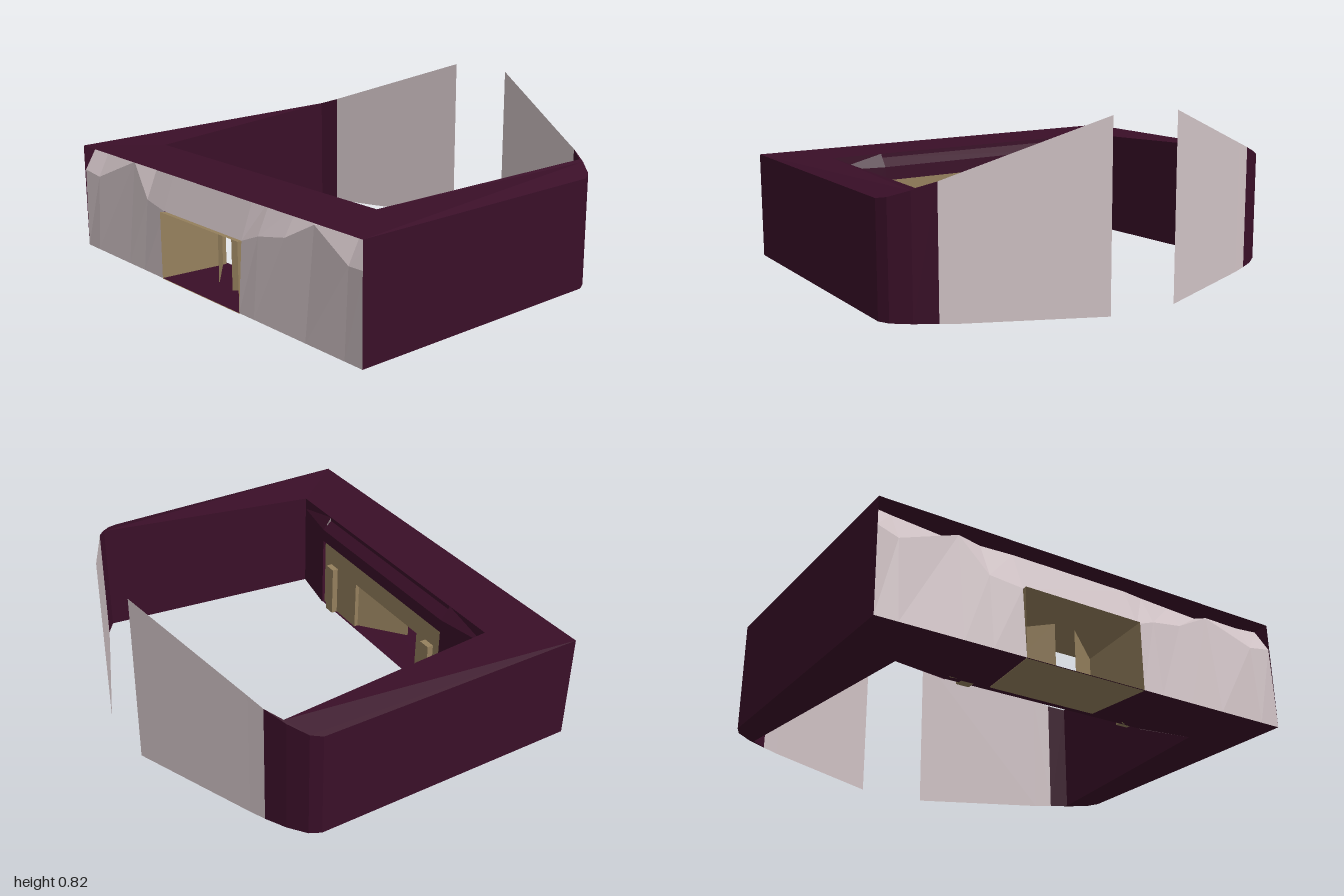
import * as THREE from 'three';

const mat = (color) => new THREE.MeshStandardMaterial({ color, flatShading: true, side: THREE.DoubleSide });
const BASE = 0.01, TOP = 0.51;

// Flat-shaded sheet running between rows of equal length; each row is a list of [x, y, z]
function loft(rows) {
  const pos = [];
  for (let r = 0; r < rows.length - 1; r++) {
    for (let i = 0; i < rows[r].length - 1; i++) {
      const a = rows[r][i], b = rows[r][i + 1], c = rows[r + 1][i + 1], d = rows[r + 1][i];
      pos.push(...a, ...b, ...c, ...a, ...c, ...d);
    }
  }
  return toGeometry(pos);
}

// Flat cap filling an [x, z] outline, with its height given by a rule
function cap(outline, height, up) {
  const pts = outline.map(([x, z]) => new THREE.Vector2(x, z));
  const pos = [];
  for (const tri of THREE.ShapeUtils.triangulateShape(pts, [])) {
    const [a, b, c] = tri.map((i) => pts[i]);
    const facesUp = (b.x - a.x) * (c.y - a.y) - (b.y - a.y) * (c.x - a.x) < 0;
    const order = facesUp === up ? [a, b, c] : [a, c, b];
    for (const p of order) pos.push(p.x, height(p.x, p.y), p.y);
  }
  return toGeometry(pos);
}

function toGeometry(pos) {
  const g = new THREE.BufferGeometry();
  g.setAttribute('position', new THREE.Float32BufferAttribute(pos, 3));
  g.computeVertexNormals();
  return g;
}

export function createModel() {
  const model = new THREE.Group();
  const dark = mat(0x3a0f28), stone = mat(0xd0c2c5), tan = mat(0x95805d);
  const add = (name, geometry, material, parent = model) => {
    const m = new THREE.Mesh(geometry, material);
    m.name = name;
    parent.add(m);
    return m;
  };

  // Top edge climbs toward the gate beyond the rounded corner
  const rise = (x, z) => (x > 0.42 ? TOP + 0.375 * (1 - Math.abs(z)) : TOP);
  const floor = () => BASE;

  // U-shaped plan: one half, then mirrored in z
  const outer = [[-0.86, 1], [0.43, 1], [0.48, 0.975], [0.54, 0.9], [0.59, 0.81]];
  const inner = [[0.59, 0.81], [0.54, 0.88], [-0.56, 0.75]];
  const half = [...outer, ...inner.slice(1)];
  const flip = (list) => list.map(([x, z]) => [x, -z]);
  const plan = [...half, ...flip(half).reverse()];
  add('roof', cap(plan, rise, true), dark);
  const basePlan = [...half, [-0.52, 0.5], ...flip([...half, [-0.52, 0.5]]).reverse()];
  add('underside', cap(basePlan, floor, false), dark);

  for (const s of [1, -1]) {
    const side = s > 0 ? 'left' : 'right';
    const wall = (pts) => loft([
      pts.map(([x, z]) => [x, BASE, z * s]),
      pts.map(([x, z]) => [x, rise(x, z), z * s]),
    ]);
    add(side + 'OuterWall', wall(outer), dark);
    add(side + 'InnerWall', wall(inner), dark);

    // Thin gate panel leaning out of the rounded corner
    const gate = [[0.59, 0.81], [0.62, 0.735], [0.855, 0.165]];
    add(side + 'GatePanel', loft([
      gate.map(([x, z], i) => [x, BASE - 0.005 * i, z * s]),
      gate.map(([x, z]) => [x, rise(x, z), z * s]),
    ]), stone);

    // Tapered dark wall beside the entrance frame
    add(side + 'EntranceFlank', loft([
      [[-0.56, BASE, 0.75 * s], [-0.515, BASE, 0.5 * s]],
      [[-0.56, 0.45, 0.75 * s], [-0.515, 0.45, 0.5 * s]],
      [[-0.56, TOP, 0.75 * s], [-0.56, TOP, 0.5 * s]],
    ]), dark);

    // Narrow post in front of the entrance frame
    add(side + 'Post', new THREE.BoxGeometry(0.04, 0.26, 0.06), tan).position.set(-0.52, 0.14, 0.41 * s);
  }

  // Ledge above the entrance
  const ledge = [[-0.56, TOP], [-0.56, 0.49], [-0.515, 0.45], [-0.515, 0.385], [-0.54, 0.385]];
  add('entranceLedge', loft(ledge.map(([x, y]) => [[x, y, 0.5], [x, y, -0.5]])), dark);

  // Entrance: frame with a doorway, tunnel and two half-open leaves
  const entrance = new THREE.Group();
  entrance.name = 'entrance';
  model.add(entrance);
  const mid = -0.05, doorTop = 0.265;
  const frame = new THREE.Shape([[-0.5, BASE], [-0.21, BASE], [-0.21, doorTop], [0.31, doorTop],
    [0.31, BASE], [0.5, BASE], [0.5, 0.385], [-0.5, 0.385]].map(([u, v]) => new THREE.Vector2(u, v)));
  const frameGeometry = new THREE.ExtrudeGeometry(frame, { depth: 0.02, bevelEnabled: false });
  frameGeometry.rotateY(Math.PI / 2); // shape u runs along -z
  frameGeometry.translate(-0.55, 0, 0);
  add('doorFrame', frameGeometry, tan, entrance);

  // Tunnel sections from the outer mouth to the doorway
  const sections = [[-0.86, 0.29, 0.32], [-0.55, 0.26, doorTop]].map(([x, w, h]) => [
    [x, 0.007, mid - w], [x, h, mid - w], [x, h, mid + w], [x, 0.007, mid + w], [x, 0.007, mid - w],
  ]);
  add('tunnel', loft(sections), tan, entrance);
  for (const s of [1, -1]) {
    add('doorLeaf', loft([
      [[-0.55, BASE, mid + 0.26 * s], [-0.72, BASE, mid + 0.05 * s]],
      [[-0.55, doorTop, mid + 0.26 * s], [-0.72, 0.28, mid + 0.05 * s]],
    ]), tan, entrance);
  }

  // Rough stone back: each station is [z, shoulder height, shoulder x]
  const stations = [[-1, 0.39, -0.855], [-0.9, 0.37, -0.84], [-0.62, 0.49, -0.81], [-0.49, 0.34, -0.83],
    [-0.34, 0.32, -0.84], [0.24, 0.32, -0.84], [0.34, 0.36, -0.83], [0.5, 0.39, -0.82],
    [0.67, 0.48, -0.81], [0.9, 0.38, -0.84], [1, 0.39, -0.855]];
  const face = (list) => loft([
    list.map(([z]) => [-0.86, BASE, z]),
    list.map(([z, y, x]) => [x, y, z]),
  ]);
  add('backStoneRight', face(stations.slice(0, 5)), stone);
  add('backStoneLeft', face(stations.slice(5)), stone);
  add('backStoneSlope', loft([
    stations.map(([z, y, x]) => [x, y, z]),
    stations.map(([z, , x]) => [x + 0.07, TOP - 0.003, z]),
  ]), stone);

  return model;
}
